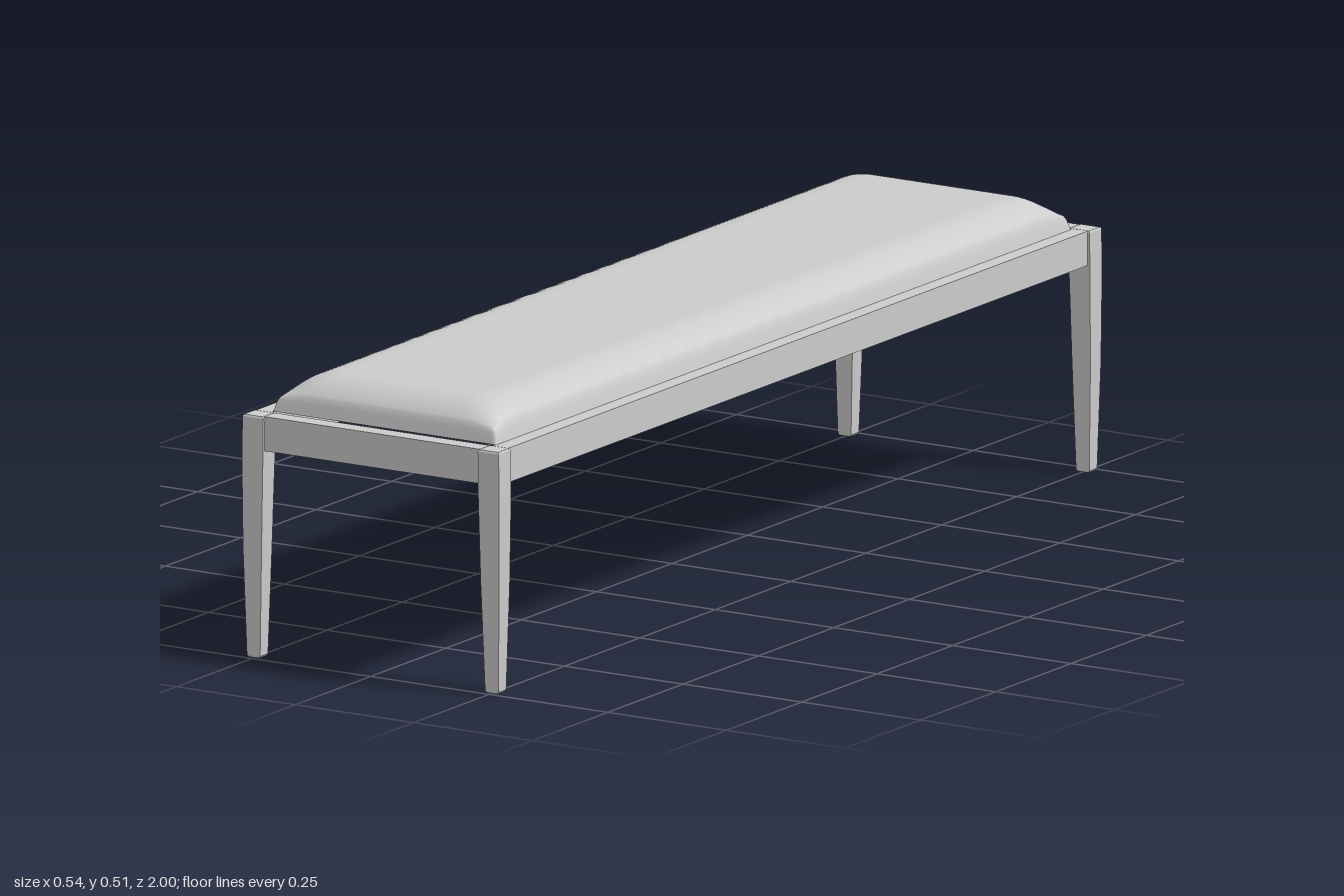
import * as THREE from 'three';

const material = new THREE.MeshStandardMaterial({ color: 0xcccccc });
const softMaterial = new THREE.MeshStandardMaterial({ color: 0xcccccc, side: THREE.DoubleSide });

function add(group, name, geometry, mat = material) {
  const mesh = new THREE.Mesh(geometry, mat);
  mesh.name = name;
  group.add(mesh);
  return mesh;
}

// Leg levels: [y, inner x, outer x, inner z, outer z]
const LEG = [
  [0, 0.24, 0.262, 0.969, 0.991],
  [0.004, 0.237, 0.265, 0.967, 0.993],
  [0.2, 0.231, 0.27, 0.963, 0.998],
  [0.36, 0.227, 0.271, 0.96, 1],
  [0.442, 0.226, 0.27, 0.96, 1],
  [0.445, 0.228, 0.268, 0.962, 0.998],
];

// Square tapering leg: each ring of a segmented box is moved to its level
function legGeometry(sx, sz) {
  const n = LEG.length - 1;
  const box = new THREE.BoxGeometry(1, 1, 1, 1, n, 1);
  const p = box.attributes.position;
  for (let i = 0; i < p.count; i++) {
    const [y, x0, x1, z0, z1] = LEG[Math.round((p.getY(i) + 0.5) * n)];
    const outerX = p.getX(i) * sx > 0, outerZ = p.getZ(i) * sz > 0;
    p.setXYZ(i, sx * (outerX ? x1 : x0), y, sz * (outerZ ? z1 : z0));
  }
  const flat = box.toNonIndexed();
  flat.computeVertexNormals();
  return flat;
}

// Cushion rise from 0 to 1 against distance from its edge
function rise(d, width) {
  const t = Math.min(1, Math.max(0, d / width));
  return Math.pow(1 - Math.pow(1 - t, 2.2), 0.8);
}

// Grid lines packed closely towards both ends
function spaced(t, half, band) {
  const u = t * 2 - 1, a = Math.abs(u);
  const d = a > 0.4 ? band * Math.pow((1 - a) / 0.6, 1.5) : band + (half - band) * (1 - a / 0.4);
  return Math.sign(u) * (half - d);
}

function cushionGeometry() {
  const HX = 0.235, HZ = 0.953, NX = 48, NZ = 240;
  const g = new THREE.PlaneGeometry(1, 1, NX, NZ);
  const p = g.attributes.position;
  for (let i = 0; i < p.count; i++) {
    const ix = i % (NX + 1), iz = Math.floor(i / (NX + 1));
    const x = spaced(ix / NX, HX, 0.1);
    const v = (iz / NZ) * 2 - 1;
    const z = HZ * Math.sign(v) * (1 - Math.pow(1 - Math.abs(v), 1.25));
    const dx = HX - Math.abs(x), dz = HZ - Math.abs(z);
    const edge = Math.min(dx, dz);
    // Steep border, then the rounded crown
    const border = 0.025 * Math.min(1, edge / 0.007);
    const crown = 0.042 * rise(dx - 0.005, 0.085) * rise(dz - 0.005, 0.085);
    // Slanting creases along the long sides, stronger on the left
    const slope = Math.exp(-Math.pow((dx - 0.035) / 0.022, 2)) * Math.min(1, dz / 0.15);
    const patch = Math.max(0, Math.sin(z * 4.3 + 0.6) * 0.5 + 0.5);
    const crease = Math.sin(z * 88 + dx * 45 + 1.6 * Math.sin(z * 11));
    const y = 0.445 + border + crown + (x > 0 ? 0.0022 : 0.0009) * slope * patch * crease;
    p.setXYZ(i, x, y, z);
  }
  g.computeVertexNormals();
  return g;
}

export function createModel() {
  const bench = new THREE.Group();
  bench.name = 'bench';

  // Four legs
  for (const sx of [-1, 1]) for (const sz of [-1, 1]) {
    add(bench, `${sz > 0 ? 'front' : 'back'}${sx > 0 ? 'Left' : 'Right'}Leg`, legGeometry(sx, sz));
  }

  // Frame rails between the legs
  for (const s of [-1, 1]) {
    const side = add(bench, s > 0 ? 'leftRail' : 'rightRail', new THREE.BoxGeometry(0.034, 0.063, 1.922));
    side.position.set(s * 0.249, 0.4135, 0);
    const end = add(bench, s > 0 ? 'frontRail' : 'backRail', new THREE.BoxGeometry(0.454, 0.063, 0.034));
    end.position.set(0, 0.4135, s * 0.978);
  }

  // Soft padded seat, open underneath
  add(bench, 'seatCushion', cushionGeometry(), softMaterial);
  return bench;
}
